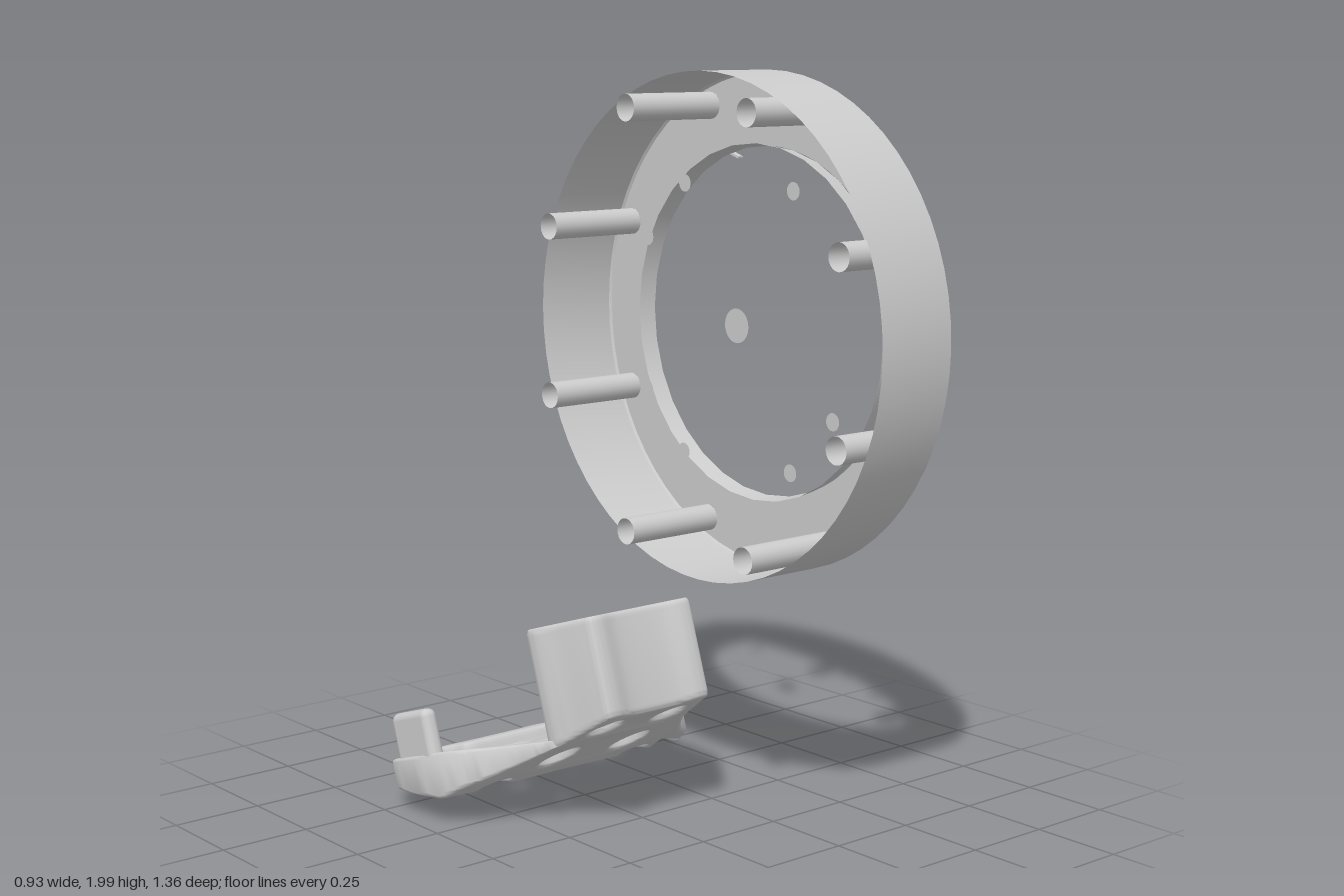
import * as THREE from 'three';
import { toCreasedNormals } from 'three/addons/utils/BufferGeometryUtils.js';
import { RoundedBoxGeometry } from 'three/addons/geometries/RoundedBoxGeometry.js';

const solid = new THREE.MeshStandardMaterial({ color: 0xcccccc });
const thin = new THREE.MeshStandardMaterial({ color: 0xcccccc, side: THREE.DoubleSide });

function add(parent, name, geometry, material, x = 0, y = 0, z = 0) {
  const mesh = new THREE.Mesh(geometry, material);
  mesh.name = name;
  mesh.position.set(x, y, z);
  parent.add(mesh);
  return mesh;
}

// Smooth closed outline mirrored about x = 0; half is a list of [u, a]
function mirroredOutline(half) {
  const other = half.filter(p => p[0] > 0).reverse().map(([u, a]) => [-u, a]);
  const pts = [...half, ...other].map(([u, a]) => new THREE.Vector3(u, -a, 0));
  const curve = new THREE.CatmullRomCurve3(pts, true, 'centripetal');
  return new THREE.Shape(curve.getPoints(pts.length * 5).map(p => new THREE.Vector2(p.x, p.y)));
}

// Pair of elliptical holes, one on each side
function addHoles(shape, u, a, ru, ra = ru) {
  for (const s of [-1, 1]) {
    const hole = new THREE.Path();
    hole.absellipse(s * u, -a, ru, ra, 0, Math.PI * 2, true);
    shape.holes.push(hole);
  }
}

// Rounded slab whose lower and upper heights follow lo(a) and hi(u)
function slab(shape, lo, hi, bevel, adjust) {
  const depth = 0.12;
  const geo = new THREE.ExtrudeGeometry(shape, {
    depth: depth - 2 * bevel, bevelThickness: bevel, bevelSize: bevel,
    bevelOffset: -bevel, bevelSegments: 4, curveSegments: 14,
  });
  geo.translate(0, 0, bevel).rotateX(-Math.PI / 2);
  const p = geo.attributes.position;
  for (let i = 0; i < p.count; i++) {
    let u = p.getX(i), a = p.getZ(i);
    const t = p.getY(i) / depth;
    if (adjust) [u, a] = adjust(u, a, t);
    p.setXYZ(i, u, lo(a) + t * (hi(u) - lo(a)), a);
  }
  return toCreasedNormals(geo, 0.7);
}

function buildRing() {
  const ring = new THREE.Group();
  ring.name = 'ring';
  ring.position.y = 1.32;
  const R = 0.68, back = 0.195, front = 0.445;
  const octagon = [...Array(8).keys()].map(i => Math.PI / 8 + i * Math.PI / 4);
  const lathe = (pts, n) => new THREE.LatheGeometry(pts.map(p => new THREE.Vector2(...p)), n).rotateZ(-Math.PI / 2);

  // Outer wall with a small front bevel
  add(ring, 'outerWall', toCreasedNormals(lathe([[R, back], [R, front - 0.006], [R - 0.006, front]], 64), 0.3), thin);
  // Lip around the opening
  add(ring, 'innerLip', lathe([[0.478, front], [0.486, front - 0.05]], 32), thin);

  // Front face with screw holes
  const face = new THREE.Shape();
  face.absarc(0, 0, R - 0.006, 0, Math.PI * 2);
  const opening = new THREE.Path();
  opening.absarc(0, 0, 0.478, 0, Math.PI * 2, true);
  face.holes.push(opening);
  for (const t of octagon) {
    const hole = new THREE.Path();
    hole.absarc(0.627 * Math.cos(t), 0.627 * Math.sin(t), 0.037, 0, Math.PI * 2, true);
    face.holes.push(hole);
  }
  add(ring, 'frontFace', new THREE.ShapeGeometry(face, 32).rotateY(Math.PI / 2), thin, front);

  // Hollow screw tubes running out of the open back
  const tube = new THREE.CylinderGeometry(0.037, 0.037, 0.305, 20, 1, true).rotateZ(Math.PI / 2);
  for (const t of octagon) {
    add(ring, 'screwTube', tube, thin, 0.2925, 0.627 * Math.sin(t), 0.627 * Math.cos(t));
  }

  // Floating discs inside the opening
  const disc = r => new THREE.CircleGeometry(r, 24).rotateY(Math.PI / 2);
  add(ring, 'centreDisc', disc(0.047), thin, 0.33);
  for (const deg of [30, 60, 120, 150, 210, 240, 300, 330]) {
    const t = THREE.MathUtils.degToRad(deg);
    add(ring, 'smallDisc', disc(0.024), thin, 0.33, 0.43 * Math.sin(t), 0.43 * Math.cos(t));
  }

  // Tiny tab at the edge of the opening
  const tab = add(ring, 'tab', new THREE.BoxGeometry(0.018, 0.006, 0.06), solid, 0.452, 0.45, -0.152);
  tab.rotation.x = 0.32;
  return ring;
}

function buildBracket() {
  const bracket = new THREE.Group();
  bracket.name = 'bracket';
  bracket.position.x = -0.045;
  bracket.rotation.x = -0.322;
  const under = a => (a > -0.24 ? 0.17 + 0.27 * (a + 0.24) : 0.17 - 0.2 * (a + 0.24));

  // Base plate with side arms and six openings
  const plate = mirroredOutline([
    [0, 0.06], [0.12, 0.06], [0.2, 0.06], [0.23, 0.03], [0.255, -0.01], [0.335, -0.114], [0.385, -0.156],
    [0.42, -0.25], [0.42, -0.43], [0.4, -0.465], [0.365, -0.455], [0.33, -0.405], [0.29, -0.368],
    [0.235, -0.368], [0.195, -0.4], [0.175, -0.45], [0.165, -0.49], [0, -0.49],
  ]);
  addHoles(plate, 0.108, -0.325, 0.055);
  addHoles(plate, 0.24, -0.24, 0.05, 0.047);
  addHoles(plate, 0.122, -0.085, 0.055, 0.07);
  add(bracket, 'basePlate', slab(plate, under, u => 0.265 + 0.15 * Math.max(0, Math.abs(u) - 0.2), 0.014), solid);

  // Raised pad at the rear
  const pad = mirroredOutline([
    [0, -0.56], [0.08, -0.566], [0.14, -0.585], [0.18, -0.578], [0.195, -0.545],
    [0.178, -0.49], [0.165, -0.45], [0.1, -0.445], [0, -0.445],
  ]);
  add(bracket, 'rearPad', slab(pad, () => 0.2, () => 0.295, 0.018), solid);

  // Front block with two bores that widen underneath
  const block = mirroredOutline([
    [0, 0.215], [0.08, 0.22], [0.14, 0.237], [0.17, 0.232], [0.18, 0.205], [0.2, 0.12], [0.222, 0.04],
    [0.212, 0.006], [0.17, 0], [0.12, 0.022], [0.07, 0.024], [0.04, 0.003], [0, 0.006],
  ]);
  const boreU = 0.108, boreA = 0.125;
  addHoles(block, boreU, boreA, 0.033);
  const widen = (u, a, t) => {
    const c = Math.sign(u) * boreU;
    if (t > 0.5 || Math.hypot(u - c, a - boreA) > 0.048) return [u, a];
    return [c + (u - c) * 1.5, boreA + (a - boreA) * 1.5];
  };
  add(bracket, 'frontBlock', slab(block, under, () => 0.566, 0.008, widen), solid);

  // Upright prongs at the ends of the arms
  for (const s of [-1, 1]) {
    add(bracket, 'prong', new RoundedBoxGeometry(0.046, 0.2, 0.172, 4, 0.021), solid, s * 0.397, 0.316, -0.326);
  }
  return bracket;
}

export function createModel() {
  const model = new THREE.Group();
  model.name = 'model';
  model.add(buildRing(), buildBracket());
  return model;
}
